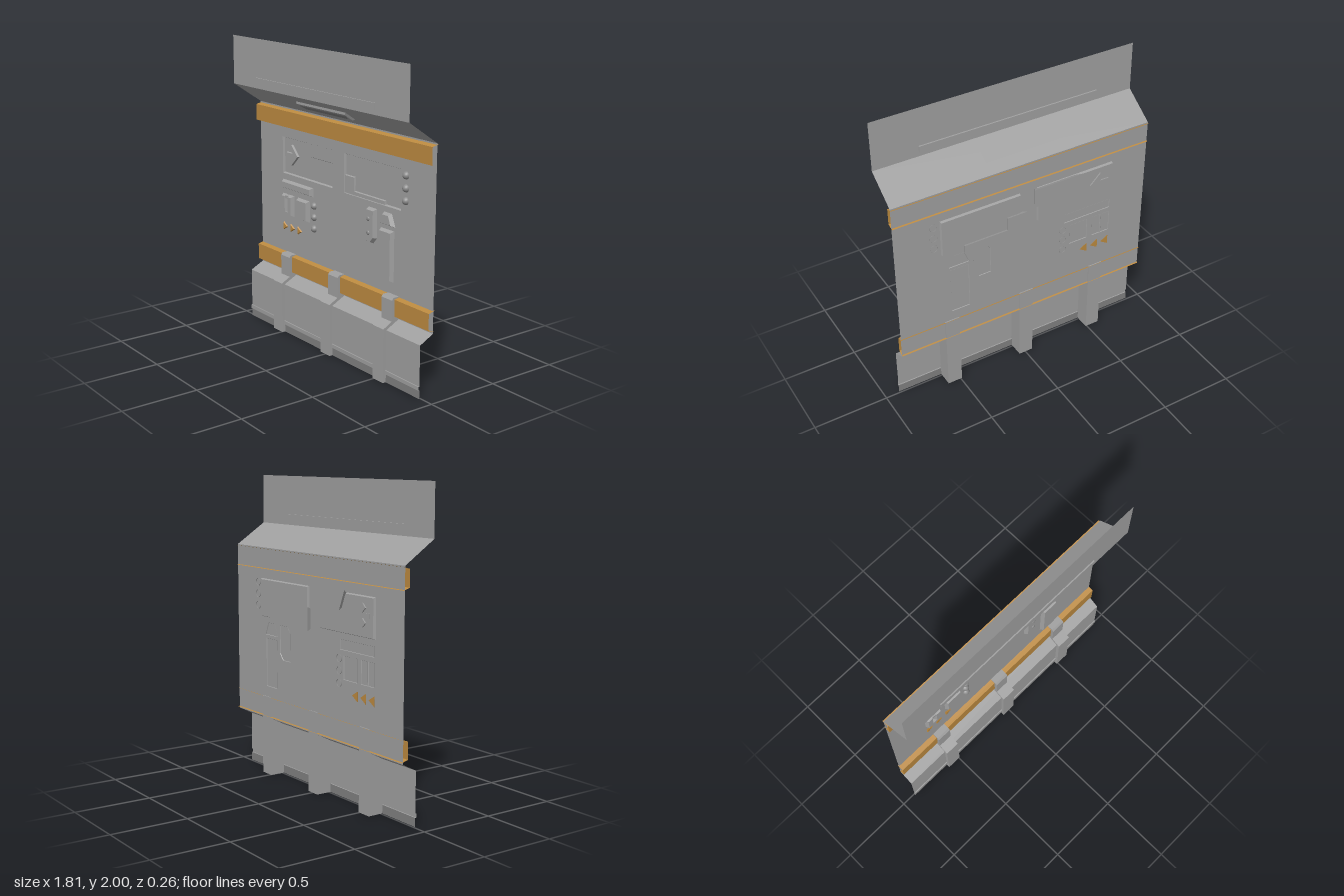
import * as THREE from 'three';

const W = -0.085; // depth of the main wall sheet
const HALF = 0.903; // half of the full width
const mat = (color, flatShading = true) => {
  const m = new THREE.MeshStandardMaterial({ color, side: THREE.DoubleSide });
  m.flatShading = flatShading;
  return m;
};
const grey = mat(0xa0a0a0);
const darkGrey = mat(0x808080);
const orange = mat(0xbc8a40);
const knobGrey = mat(0x8c8c8c, false);

const rect = (x0, x1, y0, y1) => [[x0, y0], [x1, y0], [x1, y1], [x0, y1]];
const shapeOf = (points) => new THREE.Shape(points.map(([x, y]) => new THREE.Vector2(x, y)));

function geometry(positions) {
  const g = new THREE.BufferGeometry();
  g.setAttribute('position', new THREE.Float32BufferAttribute(positions, 3));
  g.computeVertexNormals();
  return g;
}

// Folded sheet: an upward [y, z] profile swept across the full width
function sheet(profile) {
  const p = [];
  for (let i = 0; i < profile.length - 1; i++) {
    const [ya, za] = profile[i], [yb, zb] = profile[i + 1];
    p.push(-HALF, ya, za, HALF, ya, za, HALF, yb, zb, -HALF, ya, za, HALF, yb, zb, -HALF, yb, zb);
  }
  return geometry(p);
}

// Bevelled plate: outline at z0, the same outline drawn in by inset at z1
function plate(points, inset, z0, z1, backCap = false) {
  const outer = points.map(([x, y]) => new THREE.Vector2(x, y));
  if (THREE.ShapeUtils.isClockWise(outer)) outer.reverse();
  const n = outer.length;
  const normal = (i) => {
    const d = outer[(i + 1) % n].clone().sub(outer[i % n]).normalize();
    return new THREE.Vector2(-d.y, d.x);
  };
  const inner = outer.map((v, i) => {
    const a = normal(i + n - 1), b = normal(i);
    const k = inset / (1 + a.dot(b));
    return v.clone().add(a.add(b).multiplyScalar(k));
  });
  const p = [];
  const put = (v, z) => p.push(v.x, v.y, z);
  for (let i = 0; i < n; i++) {
    const j = (i + 1) % n;
    put(outer[i], z0); put(outer[j], z0); put(inner[j], z1);
    put(outer[i], z0); put(inner[j], z1); put(inner[i], z1);
  }
  for (const f of THREE.ShapeUtils.triangulateShape(inner, [])) f.forEach((i) => put(inner[i], z1));
  if (backCap) {
    for (const f of THREE.ShapeUtils.triangulateShape(outer, [])) f.reverse().forEach((i) => put(outer[i], z0));
  }
  return geometry(p);
}

export function createModel() {
  const model = new THREE.Group();
  const add = (name, geo, material = grey, parent = model) => {
    const m = new THREE.Mesh(geo, material);
    m.name = name;
    parent.add(m);
  };

  // Main wall with openings for the two recessed screens
  const screens = [rect(-0.64, -0.08, 1.08, 1.33), rect(0.04, 0.595, 1.075, 1.33)];
  const wall = shapeOf(rect(-HALF, HALF, 0.39, 1.535));
  screens.forEach((s) => wall.holes.push(shapeOf(s)));
  add('wall', new THREE.ShapeGeometry(wall).translate(0, 0, W));
  screens.forEach((s) => add('screenRecess', plate(s, 0.006, W, -0.1)));

  // Upper slope and top panel, lower ledge with a lip, darker kick strip
  add('overhang', sheet([[1.535, W], [1.675, 0.125], [2, 0.125]]));
  add('base', sheet([[0.055, 0.011], [0.055, 0.019], [0.08, 0.019], [0.08, 0.012], [0.34, 0.012], [0.39, W]]));
  add('kickStrip', sheet([[0, 0.011], [0.055, 0.011]]), darkGrey);

  // Coloured strips
  for (const y of [0.4, 1.395]) {
    add('strip', sheet([[y, -0.095], [y + 0.014, -0.05], [y + 0.122, -0.05], [y + 0.133, -0.095]]), orange);
  }

  // Brackets: side profile as [z, y], swept along x
  const side = [[0.035, 0], [0.035, 0.35], [-0.03, 0.385], [-0.03, 0.52], [-0.042, 0.535], [-0.092, 0.535], [-0.092, 0]];
  for (const x of [-0.543, -0.004, 0.541]) {
    const g = new THREE.ExtrudeGeometry(shapeOf(side), { depth: 0.1, bevelEnabled: false });
    add('bracket', g.rotateY(-Math.PI / 2).translate(x + 0.05, 0, 0));
  }

  // Rail on the top panel, standing out on both sides
  add('topRail', new THREE.BoxGeometry(1.24, 0.042, 0.018).translate(-0.02, 1.725, 0.124));

  // Handle lying on the slope: a bevelled plate with a darker grip
  const handle = new THREE.Group();
  handle.name = 'handle';
  handle.position.set(-0.022, 1.605, 0.02);
  handle.rotation.x = Math.atan2(0.21, 0.14);
  add('handlePlate', plate(rect(-0.258, 0.258, -0.045, 0.045), 0.008, 0, 0.013, true), grey, handle);
  add('handleGrip', plate([[-0.215, -0.028], [0.215, -0.028], [0.238, 0.018], [-0.238, 0.018]], 0.004, 0.013, 0.015),
    darkGrey, handle);
  model.add(handle);

  // Screen details, flaring out through the back of the wall
  add('screenTab', plate([[-0.39, 1.35], [-0.335, 1.22], [-0.04, 1.22], [-0.04, 1.35]], 0.022, -0.13, -0.09, true));
  add('screenCorner', plate([[0.01, 1.05], [0.45, 1.05], [0.45, 1.112], [0.148, 1.112], [0.148, 1.202], [0.01, 1.202]],
    0.012, -0.12, -0.09, true));
  add('arrow', plate([[-0.465, 1.215], [-0.54, 1.29], [-0.57, 1.262], [-0.538, 1.232], [-0.605, 1.232],
    [-0.605, 1.2], [-0.538, 1.2], [-0.57, 1.17], [-0.54, 1.142]], 0.004, -0.11, W, true));

  // Raised wall plates, their rims just passing through the wall
  const raised = [
    ['bar', rect(-0.635, -0.29, 0.975, 1.04)],
    ['buttonHalf', rect(-0.637, -0.574, 0.793, 0.942)],
    ['buttonHalf', rect(-0.568, -0.505, 0.793, 0.942)],
    ['button', rect(-0.465, -0.33, 0.793, 0.942)],
    ['tallPlate', rect(0.41, 0.54, 0.607, 0.935)],
    ['trapezoidPlate', [[0.405, 0.957], [0.55, 0.957], [0.515, 1.04], [0.44, 1.04]]],
    ['switchPlate', [[0.255, 0.81], [0.34, 0.81], [0.375, 0.85], [0.375, 1.04], [0.29, 1.04], [0.255, 1]]],
  ];
  raised.forEach(([name, pts]) => add(name, plate(pts, 0.014, W - 0.004, -0.06)));
  for (const y of [0.81, 0.925]) {
    add('buttonBridge', new THREE.BoxGeometry(0.03, 0.02, 0.022).translate(-0.571, y, -0.073));
  }

  // Domed knobs, flat against the wall or the switch plate
  const knob = (x, y, z, r, height) => {
    const dome = new THREE.SphereGeometry(r, 20, 8, 0, Math.PI * 2, 0, Math.PI / 2);
    add('knob', dome.rotateX(Math.PI / 2).scale(1, 1, height / r).translate(x, y, z), knobGrey);
  };
  for (const y of [0.92, 0.843, 0.765]) knob(-0.28, y, W - 0.004, 0.025, 0.028);
  for (const y of [1.3, 1.222, 1.145]) knob(0.64, y, W - 0.004, 0.025, 0.028);
  for (const y of [0.97, 0.88]) knob(0.315, y, -0.061, 0.015, 0.008);

  // Small coloured pointers
  for (const x of [-0.635, -0.553, -0.471]) {
    add('pointer', plate([[x, 0.678], [x + 0.055, 0.711], [x, 0.744]], 0.006, W - 0.004, W + 0.008, true), orange);
  }

  return model;
}
